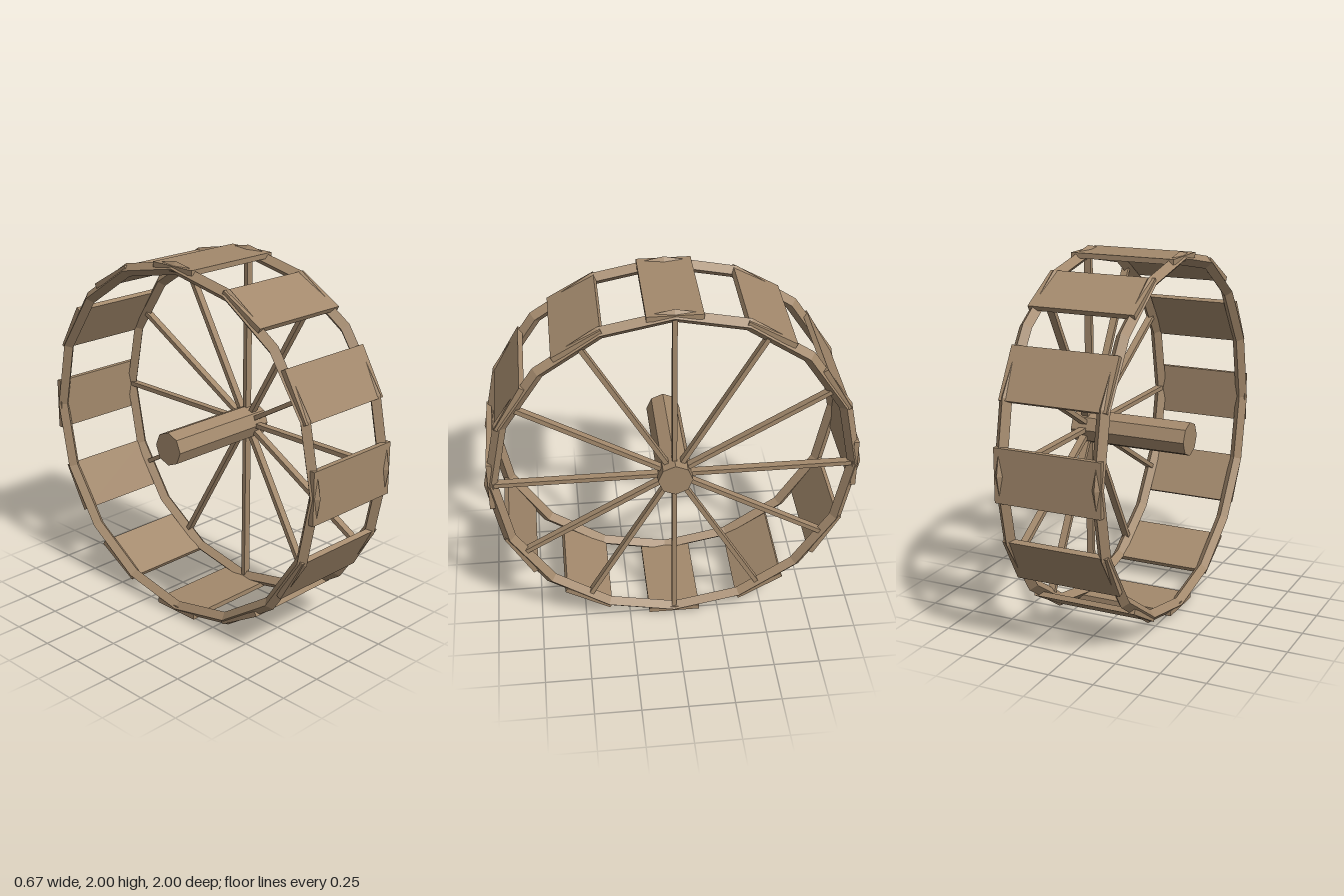
import * as THREE from 'three';

export function createModel() {
  const wood = new THREE.MeshStandardMaterial({ color: 0xa3896c });
  wood.name = 'wood';
  wood.flatShading = true;

  const wheel = new THREE.Group();
  wheel.name = 'waterWheel';
  wheel.position.y = 1;

  const add = (name, geometry, parent = wheel) => {
    const mesh = new THREE.Mesh(geometry, wood);
    mesh.name = name;
    parent.add(mesh);
    return mesh;
  };

  // Two sixteen-sided rims with a diamond cross-section
  const rimGeometry = new THREE.TorusGeometry(0.9645, 0.0355, 4, 16).rotateY(Math.PI / 2);
  for (const side of [-1, 1]) {
    add(side > 0 ? 'leftRim' : 'rightRim', rimGeometry).position.x = side * 0.265;
  }

  // Octagonal axle
  add('axle', new THREE.CylinderGeometry(0.093, 0.093, 0.67, 8).rotateZ(Math.PI / 2));

  // Twelve paddles, each with a spoke on the left side only
  const paddleGeometry = new THREE.BoxGeometry(0.584, 0.028, 0.285);
  const spokeGeometry = new THREE.BoxGeometry(0.04, 0.95, 0.025);
  for (let i = 0; i < 12; i++) {
    const arm = new THREE.Group();
    arm.name = 'arm' + (i + 1);
    arm.rotation.x = (i * Math.PI) / 6;
    add('paddle', paddleGeometry, arm).position.y = 0.965;
    add('spoke', spokeGeometry, arm).position.set(0.265, 0.475, 0);
    wheel.add(arm);
  }

  const model = new THREE.Group();
  model.name = 'model';
  model.add(wheel);
  return model;
}
